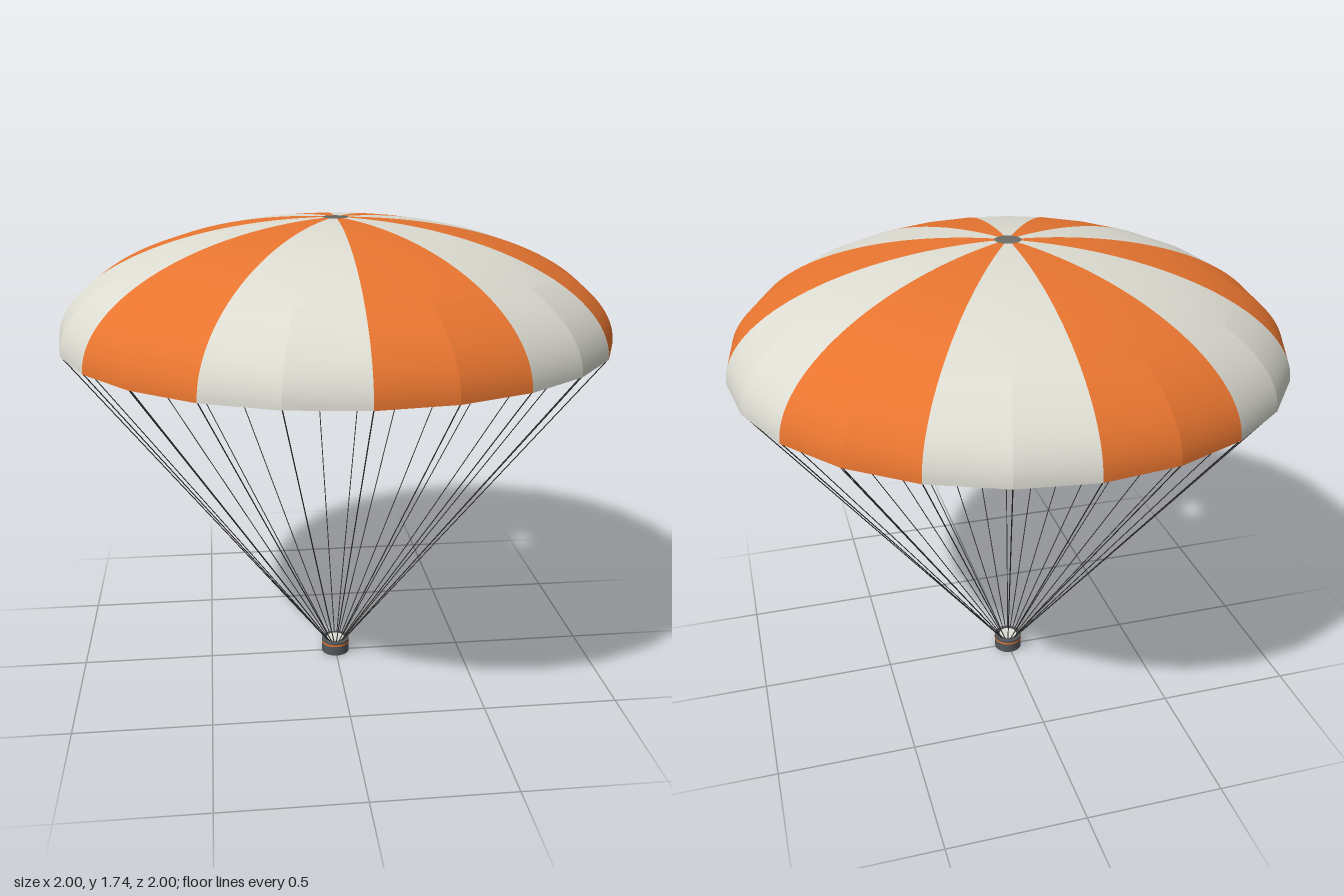
import * as THREE from 'three';
import { toCreasedNormals } from 'three/addons/utils/BufferGeometryUtils.js';

const mat = (name, color, side = THREE.FrontSide) => {
  const m = new THREE.MeshStandardMaterial({ color, side });
  m.name = name;
  return m;
};

export function createModel() {
  const group = new THREE.Group();
  group.name = 'parachute';
  const orange = mat('orange fabric', 0xe87530, THREE.DoubleSide);
  const white = mat('off-white fabric', 0xdcdcd2, THREE.DoubleSide);
  const cord = mat('dark cord', 0x333333);
  const steel = mat('grey metal', 0x54585c);

  const add = (geometry, material, name, parent = group) => {
    const mesh = new THREE.Mesh(geometry, material);
    mesh.name = name;
    parent.add(mesh);
    return mesh;
  };

  // Canopy: twelve gores of a half ellipsoid with a vent at the crown
  const rimY = 1.315, height = 0.425, vent = 0.048, rows = 40;
  const profile = [];
  const last = Math.acos(vent);
  for (let i = 0; i <= rows; i++) {
    const t = last * i / rows;
    profile.push(new THREE.Vector2(Math.cos(t), rimY + height * Math.sin(t)));
  }
  const canopy = new THREE.Group();
  canopy.name = 'canopy';
  group.add(canopy);
  const step = Math.PI / 6;
  for (let i = 0; i < 12; i++) {
    const gore = new THREE.LatheGeometry(profile, 2, i * step, step);
    add(toCreasedNormals(gore, 0.13), i % 2 ? white : orange, 'gore', canopy);
  }

  // Suspension lines from the rim to the top of the canister
  const lines = new THREE.Group();
  lines.name = 'suspensionLines';
  group.add(lines);
  for (let i = 0; i < 24; i++) {
    const a = i * Math.PI / 12;
    const at = (r, y) => new THREE.Vector3(r * Math.sin(a), y, r * Math.cos(a));
    const path = new THREE.LineCurve3(at(0.036, 0.052), at(0.996, rimY));
    add(new THREE.TubeGeometry(path, 1, 0.002, 5), cord, 'suspensionLine', lines);
  }

  // Canister with an orange band and a pale lid
  add(new THREE.CylinderGeometry(0.054, 0.054, 0.055, 24), steel, 'canister').position.y = 0.0275;
  add(new THREE.CylinderGeometry(0.0555, 0.0555, 0.008, 24, 1, true), orange, 'canisterBand').position.y = 0.043;
  add(new THREE.CylinderGeometry(0.034, 0.034, 0.003, 24), white, 'canisterLid').position.y = 0.0565;

  return group;
}
